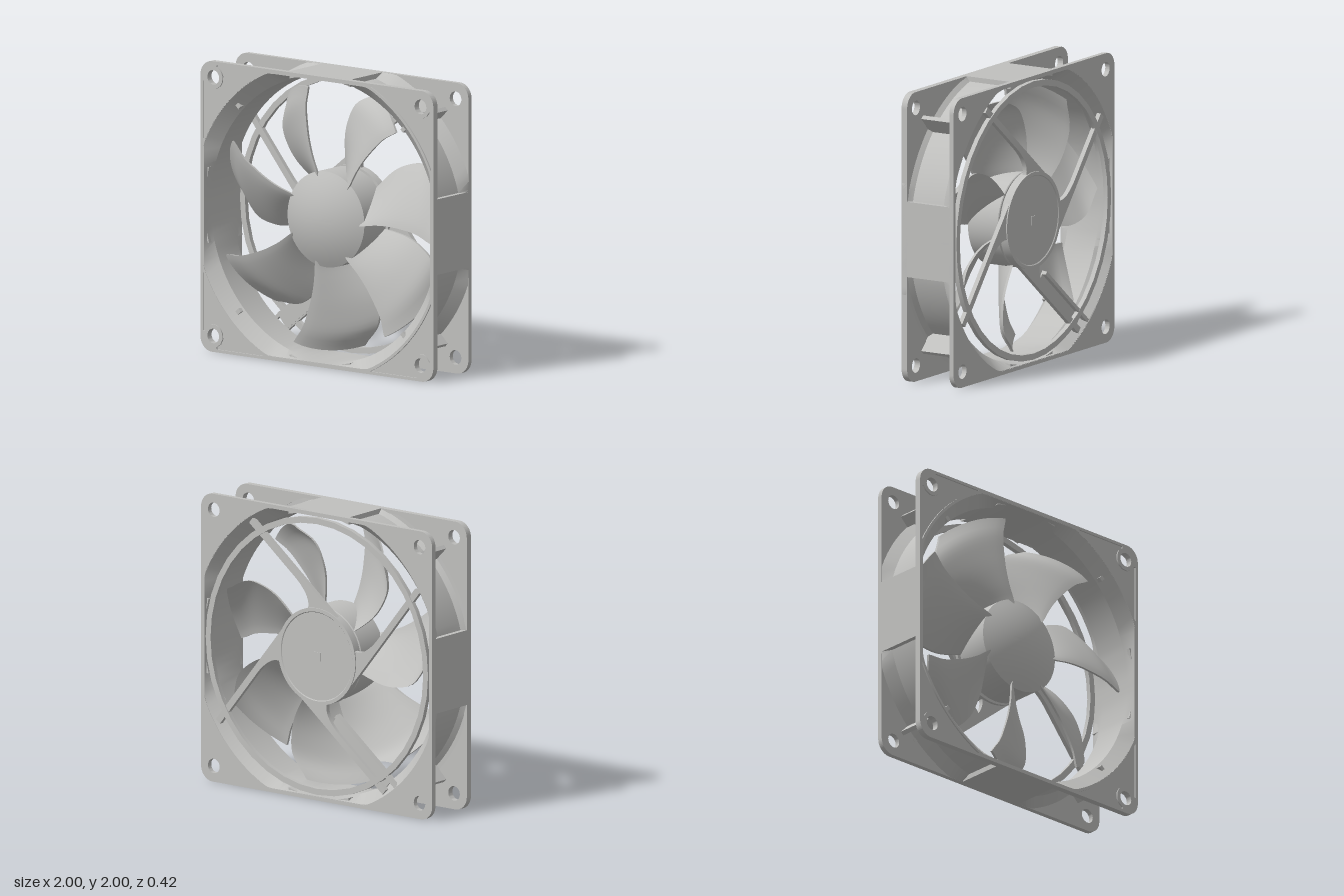
import * as THREE from 'three';
import { toCreasedNormals } from 'three/addons/utils/BufferGeometryUtils.js';

const grey = new THREE.MeshStandardMaterial({ color: 0xc0c0be });
grey.name = 'light grey plastic';

const clamp = (v, lim) => Math.max(-lim, Math.min(lim, v));

function add(parent, name, geometry) {
  const mesh = new THREE.Mesh(geometry, grey);
  mesh.name = name;
  parent.add(mesh);
  return mesh;
}

// Extrude a shape from z0 to z1
function slab(shape, z0, z1) {
  const g = new THREE.ExtrudeGeometry(shape, { depth: z1 - z0, bevelEnabled: false, curveSegments: 24 });
  return toCreasedNormals(g.translate(0, 0, z0), 0.5);
}

// Revolve a closed [radius, z] profile about z; limits clip each profile point to a square
function turned(profile, segments, limits) {
  const g = new THREE.LatheGeometry(profile.map(([r, z]) => new THREE.Vector2(r, z)), segments);
  g.rotateX(Math.PI / 2);
  if (limits) {
    const p = g.attributes.position;
    for (let k = 0; k < p.count; k++) {
      const lim = limits[k % profile.length];
      p.setXY(k, clamp(p.getX(k), lim), clamp(p.getY(k), lim));
    }
  }
  return toCreasedNormals(g, 0.5);
}

// Rounded square flange with clipped round opening and four bolt holes
function flangeShape() {
  const s = new THREE.Shape();
  const c = 0.9;
  s.moveTo(1, -c);
  s.lineTo(1, c);
  s.absarc(c, c, 0.1, 0, Math.PI / 2);
  s.absarc(-c, c, 0.1, Math.PI / 2, Math.PI);
  s.absarc(-c, -c, 0.1, Math.PI, Math.PI * 1.5);
  s.absarc(c, -c, 0.1, Math.PI * 1.5, Math.PI * 2);
  const opening = [];
  for (let i = 0; i < 96; i++) {
    const a = -i / 96 * Math.PI * 2;
    opening.push(new THREE.Vector2(clamp(1.062 * Math.cos(a), 0.975), clamp(1.062 * Math.sin(a), 0.975)));
  }
  s.holes.push(new THREE.Path(opening));
  for (const x of [-0.89, 0.89]) for (const y of [-0.89, 0.89]) {
    s.holes.push(new THREE.Path().absarc(x, y, 0.05, 0, Math.PI * 2, true));
  }
  return s;
}

// Triangular corner pocket, turned to corner q: duct arc, top edge, curve round the bolt hole, side edge
function pocket(q) {
  const pts = [];
  const a0 = Math.asin(0.46 / 1.08);
  for (let i = 0; i <= 14; i++) {
    const a = a0 + (Math.PI / 2 - 2 * a0) * i / 14;
    pts.push(new THREE.Vector2(1.08 * Math.cos(a), 1.08 * Math.sin(a)));
  }
  pts.push(new THREE.Vector2(0.46, 0.98), new THREE.Vector2(0.86, 0.98));
  for (let i = 0; i <= 8; i++) {
    const a = Math.PI * (0.62 + 1.26 * i / 8);
    pts.push(new THREE.Vector2(0.89 + 0.08 * Math.cos(a), 0.89 + 0.08 * Math.sin(a)));
  }
  pts.push(new THREE.Vector2(0.98, 0.86), new THREE.Vector2(0.98, 0.46));
  return new THREE.Path(pts.map(p => p.rotateAround(new THREE.Vector2(), q * Math.PI / 2)));
}

// Flat side wall: straight outside, following the duct inside
function sideWallShape() {
  const s = new THREE.Shape();
  const a = Math.asin(0.26 / 0.985);
  s.moveTo(1, -0.26);
  s.lineTo(1, 0.26);
  s.lineTo(0.985 * Math.cos(a), 0.26);
  s.absarc(0, 0, 0.985, a, -a, true);
  return s;
}

// Curved blade: a thin box bent in polar coordinates
function bladeGeometry() {
  const edges = new THREE.SplineCurve([[-2, 40], [1, 41], [1.5, 40.5], [0.5, 37.5], [-1, 32.5], [-4, 22]]
    .map(([a, b]) => new THREE.Vector2(a, b)));
  const g = new THREE.BoxGeometry(1, 1, 1, 18, 14, 1);
  const p = g.attributes.position;
  for (let i = 0; i < p.count; i++) {
    const u = p.getX(i) + 0.5, s = p.getY(i) + 0.5;
    const e = edges.getPoint(u);
    const a = THREE.MathUtils.degToRad(e.x + (e.y - e.x) * s);
    const r = 0.3 + u * (0.61 - 0.01 * s + 0.07 * s * (1 - s));
    const z = 0.12 - 0.25 * Math.pow(s, 1.25) + p.getZ(i) * 0.018;
    p.setXYZ(i, r * Math.cos(a), r * Math.sin(a), z);
  }
  g.computeVertexNormals();
  return g;
}

// Tangential strut with a fillet where it joins the motor base
function strutShape() {
  const s = new THREE.Shape();
  s.moveTo(0, 0.2);
  s.lineTo(0.26, 0.18);
  s.quadraticCurveTo(0.28, 0.275, 0.46, 0.285);
  s.lineTo(0.99, 0.285);
  s.lineTo(0.99, 0.33);
  s.lineTo(0, 0.33);
  return s;
}

export function createModel() {
  const model = new THREE.Group();
  model.name = 'coolingFan';
  model.position.y = 1;

  // Frame
  const frame = new THREE.Group();
  frame.name = 'frame';
  model.add(frame);
  add(frame, 'backFlange', slab(flangeShape(), -0.21, -0.175));
  add(frame, 'frontFlange', slab(flangeShape(), 0.165, 0.2));
  const trim = flangeShape();
  for (let q = 0; q < 4; q++) trim.holes.push(pocket(q));
  add(frame, 'frontTrim', slab(trim, 0.2, 0.21));

  // Duct, flared at both ends and flattened against the frame sides
  const duct = [[1.075, -0.208], [1.068, -0.176], [1.0, -0.108], [1.0, 0.14], [1.03, 0.167], [1.075, 0.169],
    [1.075, 0.208], [1.06, 0.208], [0.975, 0.13], [0.975, -0.108], [1.06, -0.208], [1.075, -0.208]];
  const limits = [1, 1, 1, 1, 1, 1, 1, 0.972, 0.972, 0.972, 0.972, 1];
  add(frame, 'duct', turned(duct, 120, limits));

  // Flat side walls and corner ribs between the flanges
  const wall = slab(sideWallShape(), -0.19, 0.18);
  for (let q = 0; q < 4; q++) {
    add(frame, 'sideWall', wall).rotation.z = q * Math.PI / 2;
    const a = Math.PI / 4 + q * Math.PI / 2;
    const rib = add(frame, 'cornerRib', new THREE.BoxGeometry(0.165, 0.03, 0.27));
    rib.position.set(1.067 * Math.cos(a), 1.067 * Math.sin(a), 0.035);
    rib.rotation.z = a;
    const ribEnd = add(frame, 'cornerRibEnd', new THREE.BoxGeometry(0.085, 0.03, 0.09));
    ribEnd.position.set(1.107 * Math.cos(a), 1.107 * Math.sin(a), -0.14);
    ribEnd.rotation.z = a;
  }

  // Rear support: ring, motor base and four struts
  const support = new THREE.Group();
  support.name = 'rearSupport';
  model.add(support);
  add(support, 'supportRing', turned([[0.92, -0.208], [0.962, -0.208], [0.962, -0.175], [0.92, -0.175], [0.92, -0.208]], 40));
  add(support, 'motorBase', turned([[0, -0.205], [0.305, -0.205], [0.31, -0.21], [0.335, -0.21], [0.335, -0.15], [0, -0.15]]
    , 64));
  const plate = add(support, 'centrePlate', new THREE.BoxGeometry(0.06, 0.06, 0.008));
  plate.position.z = -0.206;
  const tilt = Math.atan2(0.63, 0.78);
  for (let q = 0; q < 4; q++) {
    const strut = add(support, 'strut', slab(strutShape(), -0.202, -0.17));
    strut.rotation.z = tilt + q * Math.PI / 2;
  }

  // Cable channel beside the lower strut
  const channel = new THREE.Group();
  channel.name = 'cableChannel';
  channel.rotation.z = tilt + Math.PI;
  support.add(channel);
  const rail = add(channel, 'channelRail', new THREE.BoxGeometry(0.7, 0.025, 0.034));
  rail.position.set(0.72, 0.205, -0.19);
  const floor = add(channel, 'channelFloor', new THREE.BoxGeometry(0.6, 0.13, 0.01));
  floor.position.set(0.67, 0.255, -0.172);

  // Rotor: domed hub and seven blades
  const rotor = new THREE.Group();
  rotor.name = 'rotor';
  model.add(rotor);
  const hub = [[0, -0.135], [0.325, -0.135], [0.33, -0.13]];
  for (let i = 0; i <= 10; i++) {
    const r = 0.33 * (1 - i / 10);
    hub.push([r, 0.2 - 0.09 * (r / 0.33) ** 2]);
  }
  add(rotor, 'hub', turned(hub, 64));
  const blade = bladeGeometry();
  for (let i = 0; i < 7; i++) add(rotor, 'blade', blade).rotation.z = i * Math.PI * 2 / 7;

  return model;
}
